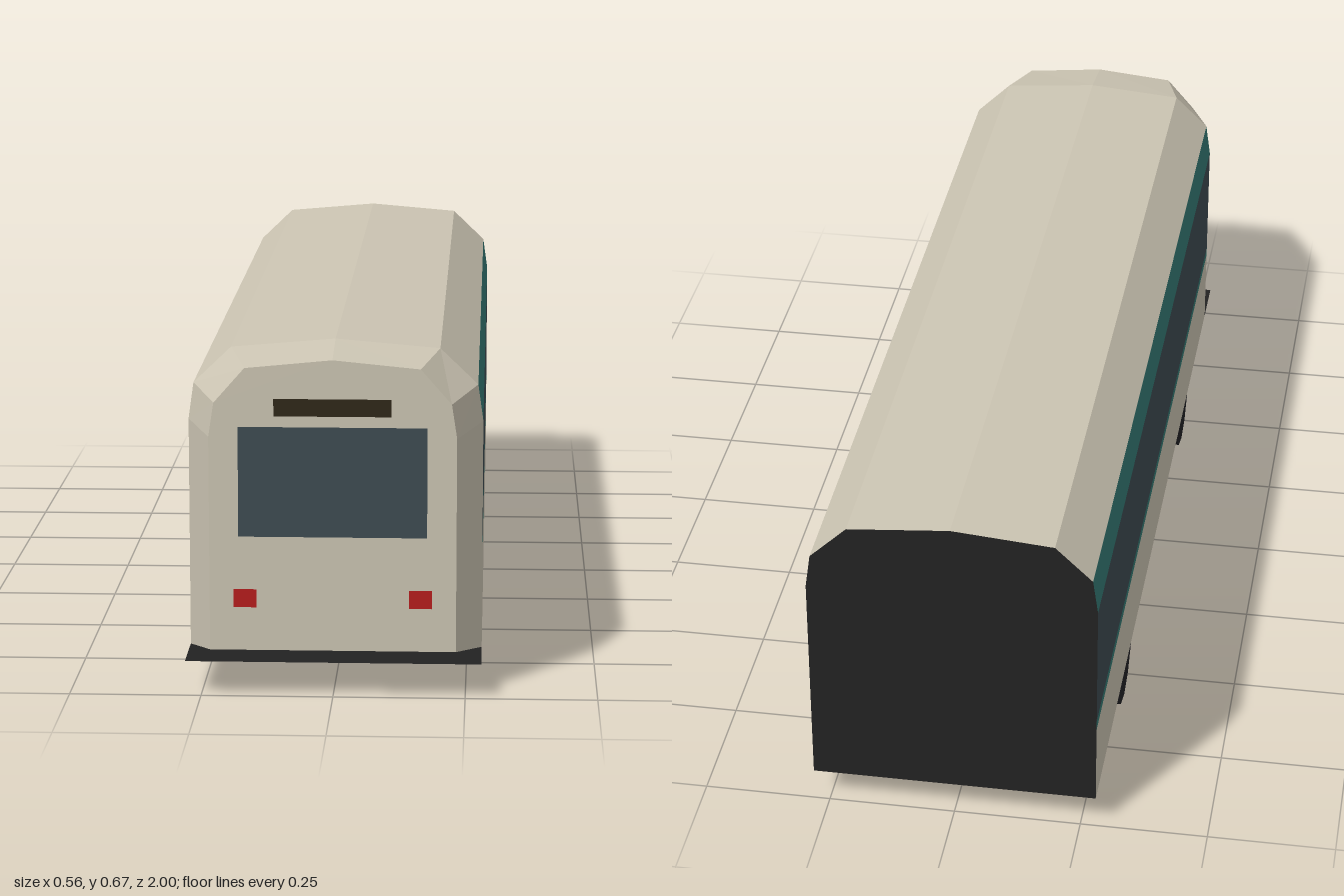
import * as THREE from 'three';

const mat = (color) => new THREE.MeshStandardMaterial({ color, flatShading: true, side: THREE.DoubleSide });
const cream = mat(0xccc5b3), teal = mat(0x357a74), glass = mat(0x3e4c52);
const dark = mat(0x222222), rubber = mat(0x222226), red = mat(0xb71c1c), signMat = mat(0x2e2617);

const BACK = -1, SHOULDER = 0.875, NOSE = 0.998, FLOOR = 0.067;

// Half sections (+x side), bottom to roof ridge
const bodyHalf = [[0.28, FLOOR], [0.28, 0.51], [0.27, 0.58], [0.198, 0.649], [0, 0.666]];
const noseHalf = [[0.232, 0.09], [0.232, 0.5], [0.222, 0.565], [0.164, 0.631], [0, 0.647]];

// Mirrors a half section into an open arch from +x over the roof to -x
const arch = (half) => [...half, ...half.slice(0, -1).reverse().map(([x, y]) => [-x, y])];

// Faceted skin between two sections with the same number of points
function loft(a, za, b, zb) {
  const pos = [];
  for (let i = 0; i < a.length - 1; i++) {
    const p = [...a[i], za], q = [...a[i + 1], za], r = [...b[i + 1], zb], s = [...b[i], zb];
    pos.push(...p, ...q, ...r, ...p, ...r, ...s);
  }
  const g = new THREE.BufferGeometry();
  g.setAttribute('position', new THREE.Float32BufferAttribute(pos, 3));
  g.computeVertexNormals();
  return g;
}

export function createModel() {
  const bus = new THREE.Group();
  bus.name = 'bus';
  const add = (name, geometry, material, x = 0, y = 0, z = 0) => {
    const m = new THREE.Mesh(geometry, material);
    m.name = name;
    m.position.set(x, y, z);
    bus.add(m);
    return m;
  };

  // Roof and tapered nose
  const roof = arch(bodyHalf.slice(2));
  add('roof', loft(roof, SHOULDER, roof, BACK), cream);
  add('noseBevel', loft(arch(noseHalf), NOSE, arch(bodyHalf), SHOULDER), cream);

  // Flat end panels
  const panel = (half) => new THREE.ShapeGeometry(
    new THREE.Shape(arch(half).map(([x, y]) => new THREE.Vector2(x, y))));
  add('frontPanel', panel(noseHalf), cream, 0, 0, NOSE);
  add('backPanel', panel(bodyHalf), dark, 0, 0, BACK);

  // Side bands: lower panel, trim, window strip, upper trim
  const bands = [
    ['LowerPanel', [0.28, FLOOR], [0.28, 0.235], cream],
    ['LowerTrim', [0.28, 0.235], [0.28, 0.255], teal],
    ['WindowStrip', [0.28, 0.255], [0.28, 0.51], glass],
    ['UpperTrim', [0.28, 0.51], [0.27, 0.58], teal],
  ];
  for (const [name, lo, hi, material] of bands) {
    const l = [lo, hi], r = [[-hi[0], hi[1]], [-lo[0], lo[1]]];
    add('left' + name, loft(l, SHOULDER, l, BACK), material);
    add('right' + name, loft(r, SHOULDER, r, BACK), material);
  }

  // Floor plate, reaching square under the nose
  const floor = add('floor', new THREE.PlaneGeometry(0.56, 2), dark, 0, FLOOR, 0);
  floor.rotation.x = Math.PI / 2;

  // Front details
  add('windshield', new THREE.PlaneGeometry(0.354, 0.21), glass, 0, 0.415, 1);
  add('destinationSign', new THREE.PlaneGeometry(0.22, 0.033), signMat, 0, 0.557, 1);
  for (const [side, s] of [['left', 1], ['right', -1]]) {
    add(side + 'Light', new THREE.PlaneGeometry(0.043, 0.035), red, s * 0.165, 0.191, 1);

    // Wheels with a corner at the ground
    for (const [end, z] of [['Front', 0.425], ['Rear', -0.57]]) {
      const wheel = new THREE.CylinderGeometry(0.11, 0.11, 0.07, 12).rotateZ(Math.PI / 2);
      add(side + end + 'Wheel', wheel, rubber, s * 0.244, 0.11, z);
    }
  }
  return bus;
}
